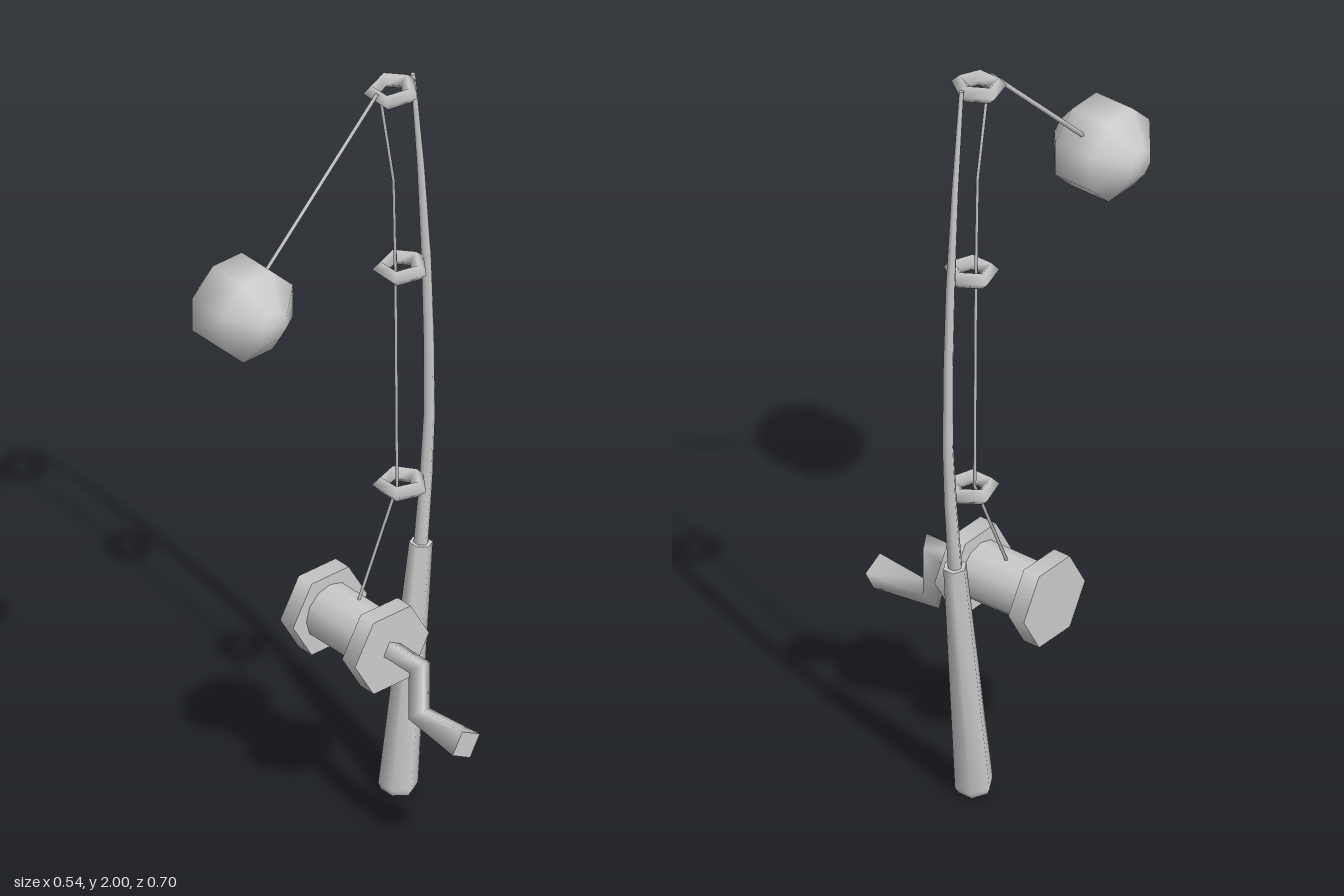
import * as THREE from 'three';

const ROD_X = -0.135;
const X = new THREE.Vector3(1, 0, 0);
const Z = new THREE.Vector3(0, 0, 1);

// Sweeps a polygon along a planar path with mitred joints, changing radius and closed ends.
function sweep(points, radii, sides, planeNormal, phase = 0) {
  const pos = [], idx = [], last = points.length - 1;
  const dir = (a, b) => points[b].clone().sub(points[a]).normalize();
  points.forEach((p, i) => {
    const before = dir(Math.max(i - 1, 0), Math.max(i, 1));
    const after = dir(Math.min(i, last - 1), Math.min(i + 1, last));
    const tangent = before.clone().add(after).normalize();
    const mitre = 1 / tangent.dot(after);
    const side = tangent.clone().cross(planeNormal);
    for (let j = 0; j < sides; j++) {
      const a = phase + (j / sides) * Math.PI * 2;
      const v = p.clone()
        .addScaledVector(planeNormal, radii[i] * Math.cos(a))
        .addScaledVector(side, radii[i] * mitre * Math.sin(a));
      pos.push(v.x, v.y, v.z);
    }
  });
  for (let i = 0; i < last; i++) {
    for (let j = 0; j < sides; j++) {
      const a = i * sides + j, b = i * sides + (j + 1) % sides;
      idx.push(a, b, a + sides, b, b + sides, a + sides);
    }
  }
  // End caps use their own vertices so their edges stay crisp
  for (const end of [0, last]) {
    const base = pos.length / 3;
    pos.push(...pos.slice(end * sides * 3, (end + 1) * sides * 3));
    for (let j = 1; j < sides - 1; j++) {
      idx.push(base, ...(end ? [base + j, base + j + 1] : [base + j + 1, base + j]));
    }
  }
  const g = new THREE.BufferGeometry();
  g.setAttribute('position', new THREE.Float32BufferAttribute(pos, 3));
  g.setIndex(idx);
  g.computeVertexNormals();
  return g;
}

export function createModel() {
  const model = new THREE.Group();
  const material = new THREE.MeshStandardMaterial({ color: 0xcccccc });

  function add(name, geometry, parent = model) {
    const mesh = new THREE.Mesh(geometry, material);
    mesh.name = name;
    parent.add(mesh);
    return mesh;
  }
  // Path in the plane of the rod, from [y, z] pairs
  const rodPath = (pairs) => pairs.map(([y, z]) => new THREE.Vector3(ROD_X, y, z));

  // Tapered grip with a small bevel at the butt
  add('grip', sweep(
    rodPath([[0.008, -0.238], [0.025, -0.24], [0.67, -0.311]]),
    [0.04, 0.048, 0.029], 6, X));

  // Bowed, tapering rod
  add('rod', sweep(
    rodPath([[0.64, -0.308], [0.85, -0.327], [1.02, -0.337], [1.25, -0.335],
      [1.47, -0.327], [1.73, -0.31], [1.995, -0.286]]),
    [0.018, 0.016, 0.014, 0.013, 0.012, 0.009, 0.006], 6, X));

  // Line guides: five-sided rings with the point against the rod
  const guides = new THREE.Group();
  guides.name = 'lineGuides';
  model.add(guides);
  const ring = new THREE.TorusGeometry(0.048, 0.021, 4, 5);
  ring.rotateZ(Math.PI / 2).rotateX(-Math.PI / 2);
  for (const [y, z, tilt] of [[0.86, -0.249, 0], [1.467, -0.25, 0.06], [1.975, -0.222, 0.1]]) {
    const guide = add('lineGuide', ring, guides);
    guide.position.set(ROD_X, y, z);
    guide.rotation.x = tilt;
  }

  // Line from the spool through the guides, then out to the float
  add('line', sweep(
    rodPath([[0.56, -0.105], [0.86, -0.237], [1.46, -0.232], [1.72, -0.226], [1.975, -0.185]]),
    [0.005, 0.005, 0.005, 0.005, 0.005], 4, X));
  add('floatLine', sweep(rodPath([[1.985, -0.175], [1.585, 0.222]]), [0.006, 0.006], 4, X));

  // Faceted float turned about the x axis
  const profile = [[0, -0.118], [0.04, -0.116], [0.118, -0.055],
    [0.118, 0.055], [0.04, 0.116], [0, 0.118]].map(([r, h]) => new THREE.Vector2(r, h));
  const ball = new THREE.LatheGeometry(profile, 8);
  ball.rotateY(Math.PI / 8).rotateZ(-Math.PI / 2);
  add('float', ball).position.set(-0.133, 1.565, 0.245);

  // Reel: spool between two hexagonal flanges
  const reel = new THREE.Group();
  reel.name = 'reel';
  reel.position.set(0, 0.52, -0.105);
  model.add(reel);
  const disc = (r, length, sides) =>
    new THREE.CylinderGeometry(r, r, length, sides).rotateZ(Math.PI / 2);
  add('spool', disc(0.074, 0.2, 12), reel).position.x = ROD_X;
  for (const side of [-1, 1]) {
    add('flange', disc(0.115, 0.047, 6), reel).position.x = ROD_X + side * 0.1115;
  }

  // Crank bent down from the axle, flaring into the knob
  const crank = [[-0.02, 0], [0.098, 0], [0.098, -0.13], [0.267, -0.134]]
    .map(([x, y]) => new THREE.Vector3(x, y, 0));
  add('crank', sweep(crank, [0.027, 0.027, 0.028, 0.044], 4, Z, 0.3), reel);

  return model;
}
